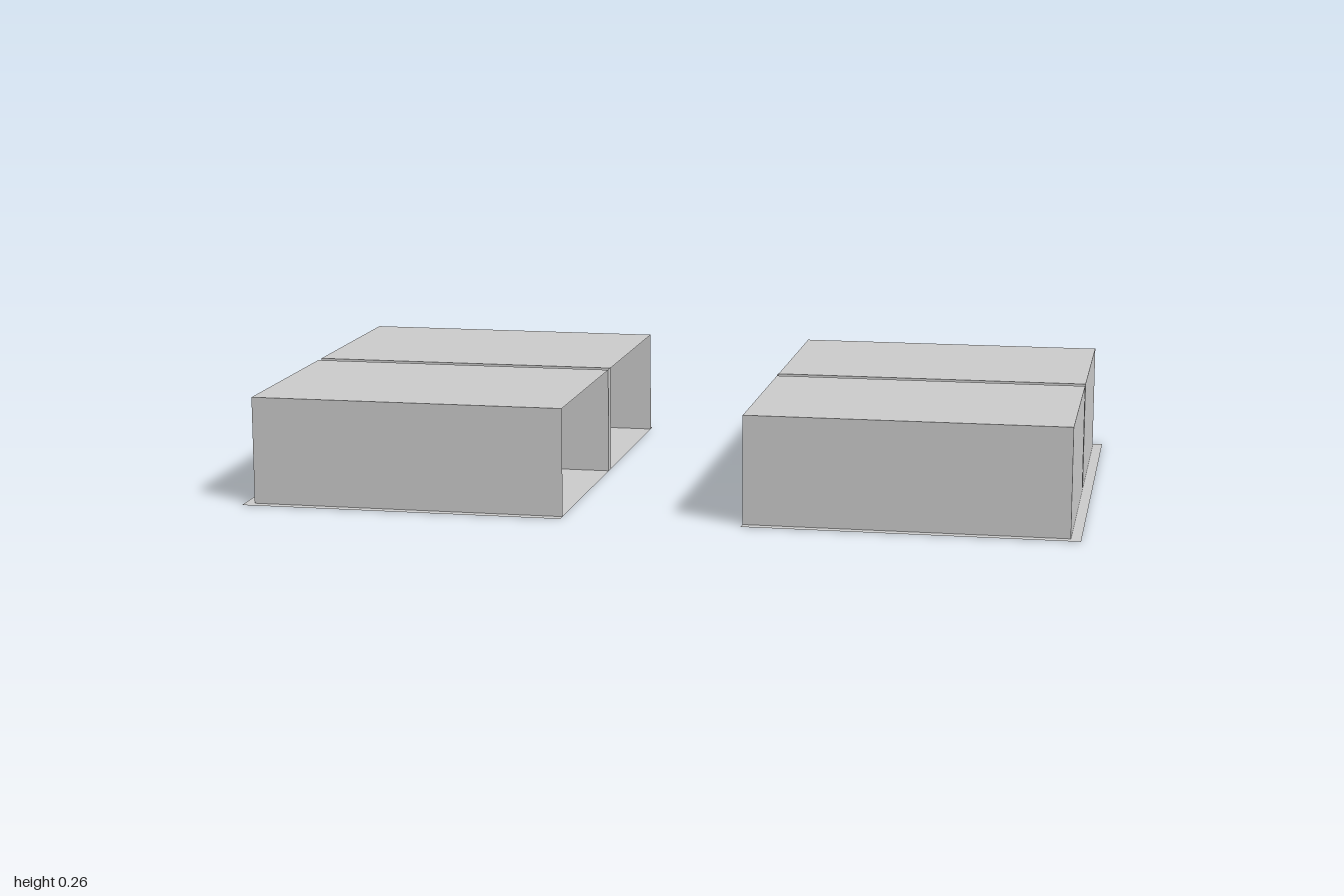
import * as THREE from 'three';

const INNER = 0.215, OUTER = 0.976, HEIGHT = 0.26; // bay extents in x and y
const GAP = 0.0135, END = 0.524;                   // bay extents in z
const PLATE_X = 1, PLATE_Z = 0.548;                // base plate edges

const material = new THREE.MeshStandardMaterial({
  color: 0xcccccc, flatShading: true, side: THREE.DoubleSide,
});

// Thin sheet spanning a box that is flat along one axis
function sheet(name, [x0, x1], [y0, y1], [z0, z1]) {
  const dx = x1 - x0, dy = y1 - y0, dz = z1 - z0;
  let geometry;
  if (dx === 0) geometry = new THREE.PlaneGeometry(dz, dy).rotateY(Math.PI / 2);
  else if (dy === 0) geometry = new THREE.PlaneGeometry(dx, dz).rotateX(-Math.PI / 2);
  else geometry = new THREE.PlaneGeometry(dx, dy);
  geometry.translate((x0 + x1) / 2, (y0 + y1) / 2, (z0 + z1) / 2);
  const mesh = new THREE.Mesh(geometry, material);
  mesh.name = name;
  return mesh;
}

// Bay with a roof and three closed sides, open towards the aisle
function bay(name, xIn, xOut, z0, z1) {
  const group = new THREE.Group();
  group.name = name;
  const x = [Math.min(xIn, xOut), Math.max(xIn, xOut)], y = [0, HEIGHT];
  group.add(
    sheet('roof', x, [HEIGHT, HEIGHT], [z0, z1]),
    sheet('outerWall', [xOut, xOut], y, [z0, z1]),
    sheet('frontWall', x, y, [z1, z1]),
    sheet('backWall', x, y, [z0, z0]),
  );
  return group;
}

export function createModel() {
  const model = new THREE.Group();
  model.name = 'twinBayBlocks';
  for (const side of [1, -1]) {
    const block = new THREE.Group();
    block.name = side > 0 ? 'leftBlock' : 'rightBlock';
    const xIn = side * INNER, xOut = side * OUTER, edge = side * PLATE_X;
    block.add(
      // Flat base projecting past the outer walls
      sheet('basePlate', [Math.min(xIn, edge), Math.max(xIn, edge)], [0, 0], [-PLATE_Z, PLATE_Z]),
      bay('frontBay', xIn, xOut, GAP, END),
      bay('backBay', xIn, xOut, -END, -GAP),
      // Narrow strip closing the gap on the aisle side
      sheet('gapStrip', [xIn, xIn], [0, HEIGHT + 0.002], [-GAP, GAP]),
    );
    model.add(block);
  }
  return model;
}
